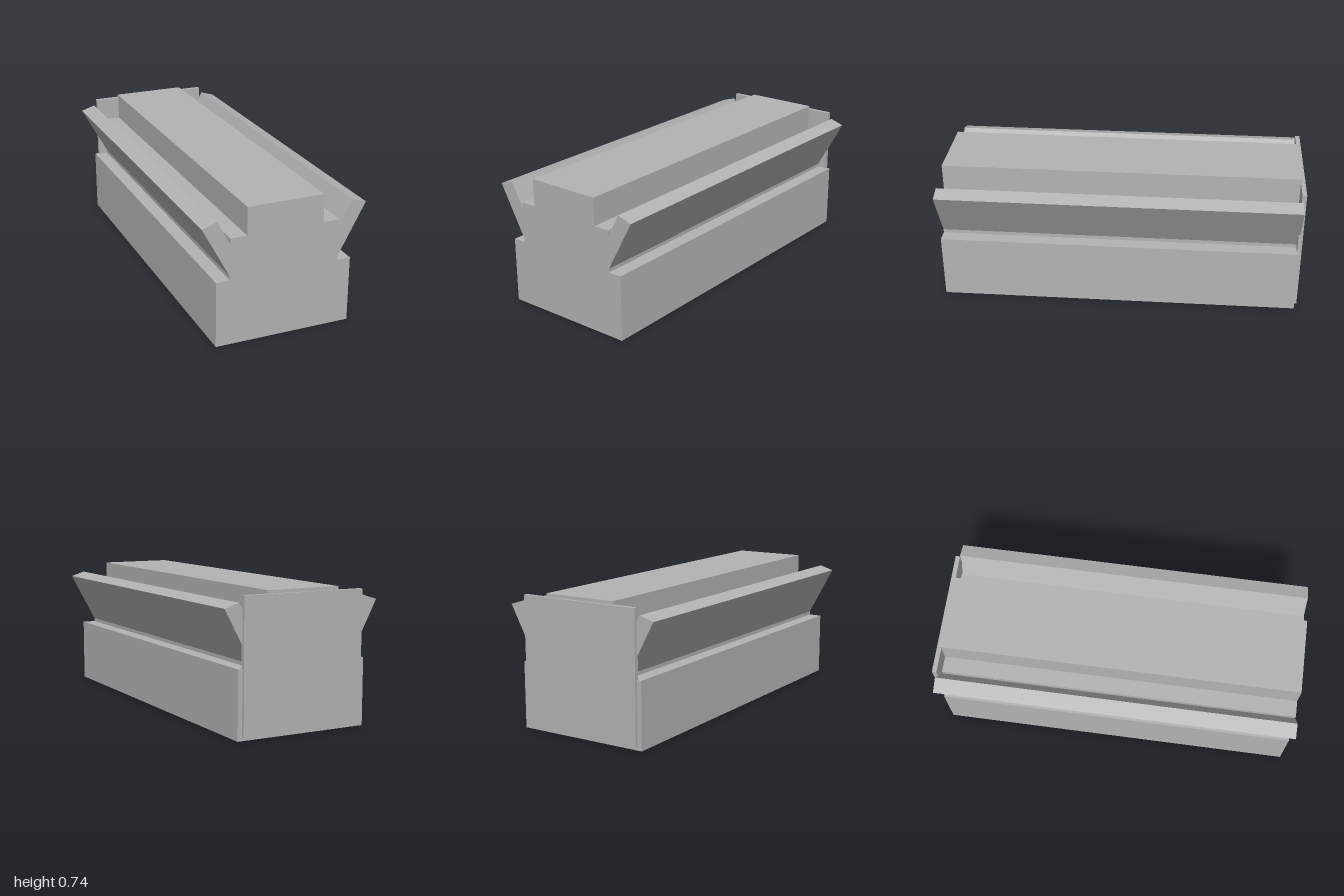
import * as THREE from 'three';

export function createModel() {
  const model = new THREE.Group();
  model.name = 'railBlock';
  const grey = new THREE.MeshStandardMaterial({ color: 0xb3b3b3 });
  grey.name = 'plain grey';

  const backZ = -0.985;

  // Right half of the cross-section, from the foot up to the raised top
  const half = [
    [0.375, 0], [0.375, 0.36], [0.3, 0.36], [0.3, 0.38],   // base and step
    [0.45, 0.66], [0.37, 0.685], [0.3, 0.557],             // slanted wing
    [0.3, 0.587], [0.21, 0.587], [0.21, 0.738],            // ledge and raised top
  ];
  const mirrored = half.map(([x, y]) => [-x, y]).reverse();
  const section = new THREE.Shape(
    [...half, ...mirrored].map(([x, y]) => new THREE.Vector2(x, y))
  );

  // Long body with the same section from front to back
  const body = new THREE.Mesh(
    new THREE.ExtrudeGeometry(section, { depth: 1 - backZ, bevelEnabled: false }),
    grey
  );
  body.name = 'profiledBody';
  body.position.z = backZ;
  model.add(body);

  // Thin end plate, let slightly into the back of the body
  const plateDepth = 0.025;
  const plate = new THREE.Mesh(new THREE.BoxGeometry(0.7, 0.702, plateDepth), grey);
  plate.name = 'backPlate';
  plate.position.set(0, 0.369, -1 + plateDepth / 2);
  model.add(plate);

  return model;
}
